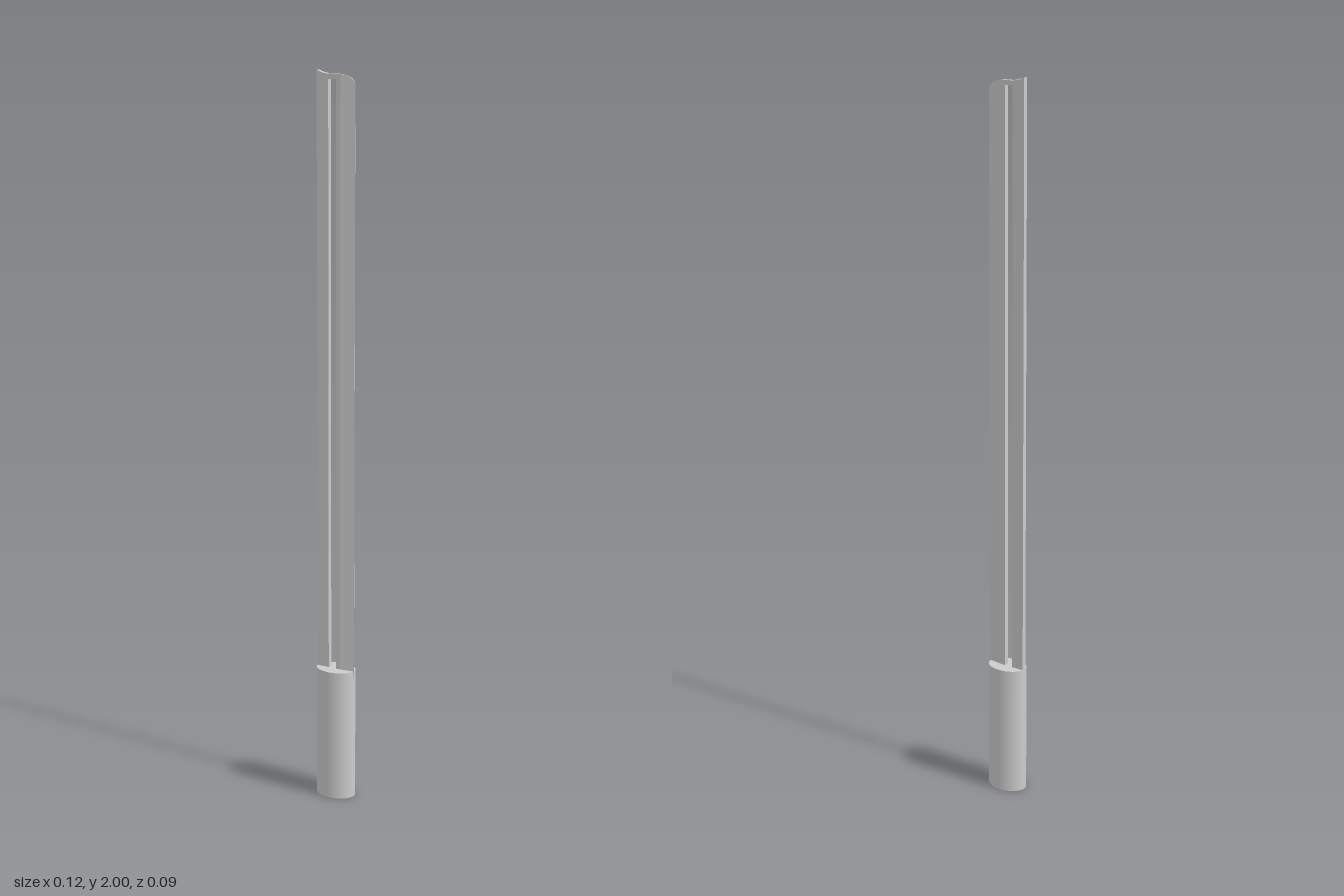
import * as THREE from 'three';

const material = new THREE.MeshStandardMaterial({ color: 0xcccccc, flatShading: true });
const HILT_TOP = 0.37;

// Outline of the blade's tip: [x, height]
const TIP = [[-0.058, 2], [-0.04, 1.993], [-0.022, 1.99], [0.002, 1.99],
  [0.015, 1.99], [0.03, 1.988], [0.045, 1.981], [0.057, 1.97]];

// Half thickness: flat body that tapers to the cutting edge
const halfThickness = x => 0.0065 * Math.min(1, Math.max(0.04, (0.057 - x) / 0.042));

function tipHeight(x) {
  const i = TIP.findIndex(p => p[0] >= x - 1e-5);
  return TIP[Math.max(i, 0)][1];
}

// Upright bar between two x positions, from a base height up to the tip outline
function bladeBar(name, x0, x1, base) {
  const xs = TIP.map(p => p[0]).filter(x => x >= x0 && x <= x1);
  const outline = [
    ...xs.map(x => new THREE.Vector2(x, -halfThickness(x))),
    ...xs.slice().reverse().map(x => new THREE.Vector2(x, halfThickness(x))),
  ];
  const geometry = new THREE.ExtrudeGeometry(new THREE.Shape(outline),
    { depth: 1, bevelEnabled: false });
  geometry.rotateX(-Math.PI / 2);
  const pos = geometry.attributes.position;
  for (let i = 0; i < pos.count; i++) {
    pos.setY(i, pos.getY(i) > 0.5 ? tipHeight(pos.getX(i)) : base);
  }
  geometry.computeVertexNormals();
  const mesh = new THREE.Mesh(geometry, material);
  mesh.name = name;
  return mesh;
}

export function createModel() {
  const model = new THREE.Group();
  model.name = 'slottedSword';

  // Oval hilt
  const hiltGeometry = new THREE.CylinderGeometry(1, 1, HILT_TOP, 48);
  hiltGeometry.scale(0.0575, 1, 0.043);
  const hilt = new THREE.Mesh(hiltGeometry, new THREE.MeshStandardMaterial({ color: 0xcccccc }));
  hilt.name = 'hilt';
  hilt.position.set(-0.002, HILT_TOP / 2, 0);
  model.add(hilt);

  // Blade: spine and cutting edge either side of a long slot, joined at the tip
  const blade = new THREE.Group();
  blade.name = 'blade';
  blade.add(
    bladeBar('spine', -0.058, -0.022, HILT_TOP - 0.02),
    bladeBar('cuttingEdge', 0.002, 0.057, HILT_TOP - 0.02),
    bladeBar('tipBridge', -0.022, 0.002, 1.977),
  );
  model.add(blade);
  return model;
}
